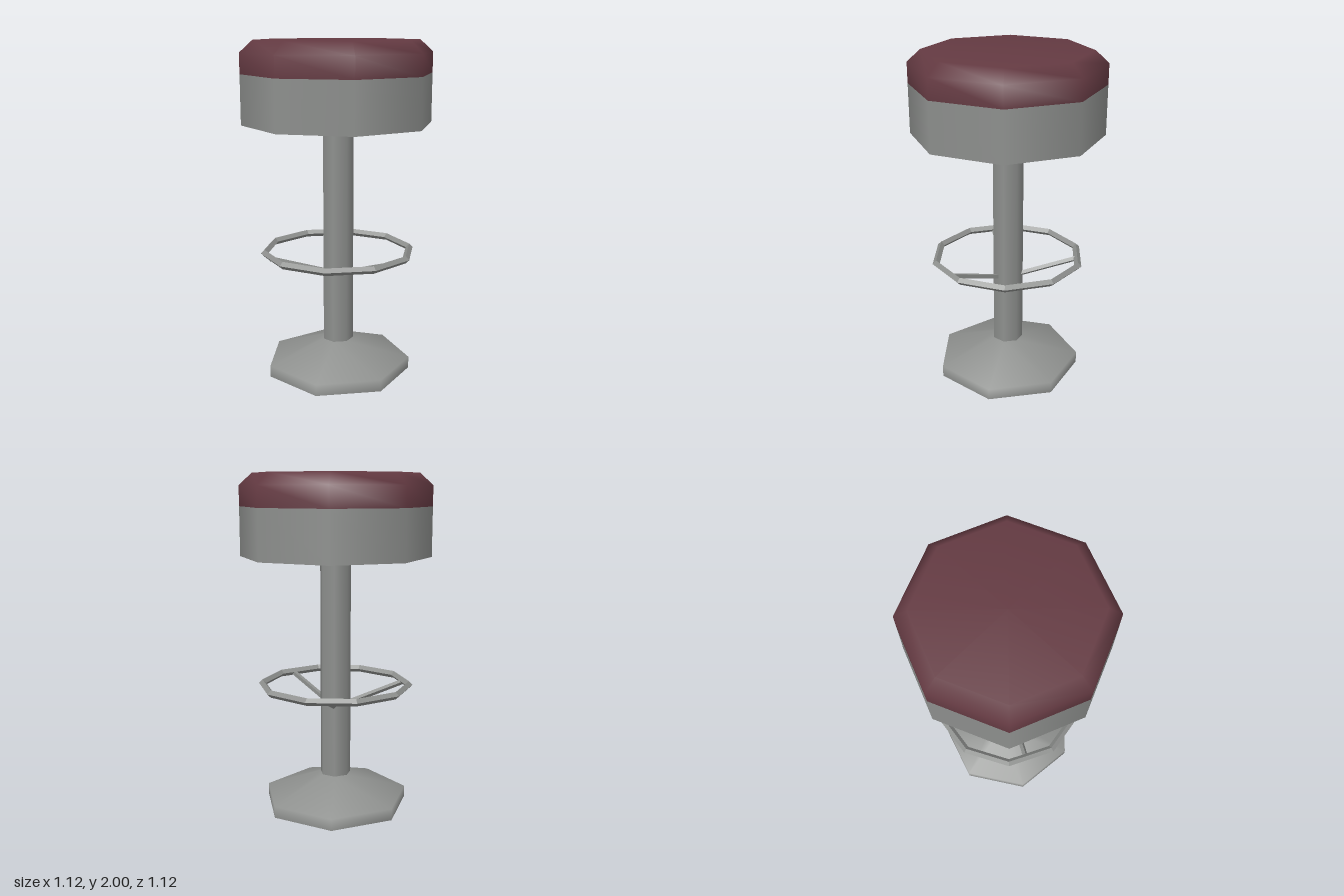
import * as THREE from 'three';

export function createModel() {
  const group = new THREE.Group();
  const steel = new THREE.MeshStandardMaterial({ name: 'greySteel', color: 0x8e908e });
  const wine = new THREE.MeshStandardMaterial({ name: 'wineLeather', color: 0x643a42 });
  const steelFlat = steel.clone();
  steelFlat.flatShading = true;

  const add = (name, geometry, material) => {
    const mesh = new THREE.Mesh(geometry, material);
    mesh.name = name;
    group.add(mesh);
    return mesh;
  };
  // Smooth turned part; profile runs from bottom to top as [radius, y]
  const turned = (name, profile, sides, material) => add(name, new THREE.LatheGeometry(
    profile.map(([r, y]) => new THREE.Vector2(r, y)), sides, Math.PI), material);

  // Seat: eight-sided cushion on a metal drum
  turned('seatCushion', [[0.562, 1.81], [0.562, 1.93], [0.485, 2], [0, 2]], 8, wine);
  turned('seatDrum', [[0.562, 1.52], [0.562, 1.81]], 8, steel);
  turned('seatUnderside', [[0, 1.52], [0.562, 1.52]], 8, steel);

  // Seven-sided column and foot, one corner to the back
  turned('column', [[0.093, 0.18], [0.093, 1.53]], 7, steel);
  turned('base', [[0.44, 0], [0.44, 0.07], [0.09, 0.195]], 7, steel);
  turned('baseTop', [[0.09, 0.195], [0, 0.195]], 7, steel);
  turned('baseUnderside', [[0, 0], [0.44, 0]], 7, steel);

  // Foot ring
  const ring = add('footRing', new THREE.TorusGeometry(0.443, 0.022, 4, 10), steelFlat);
  ring.rotation.x = Math.PI / 2;
  ring.position.y = 0.752;

  // Three braces from the column up to the ring
  const up = new THREE.Vector3(0, 1, 0);
  for (const [x, z] of [[-0.415, 0.105], [0.285, 0.31], [0.02, -0.42]]) {
    const start = new THREE.Vector3(x * 0.17, 0.63, z * 0.17);
    const end = new THREE.Vector3(x, 0.748, z);
    const along = end.clone().sub(start);
    const brace = add('ringBrace', new THREE.CylinderGeometry(0.016, 0.016, along.length(), 4), steelFlat);
    brace.position.copy(start).add(end).multiplyScalar(0.5);
    brace.quaternion.setFromUnitVectors(up, along.normalize());
  }
  return group;
}
